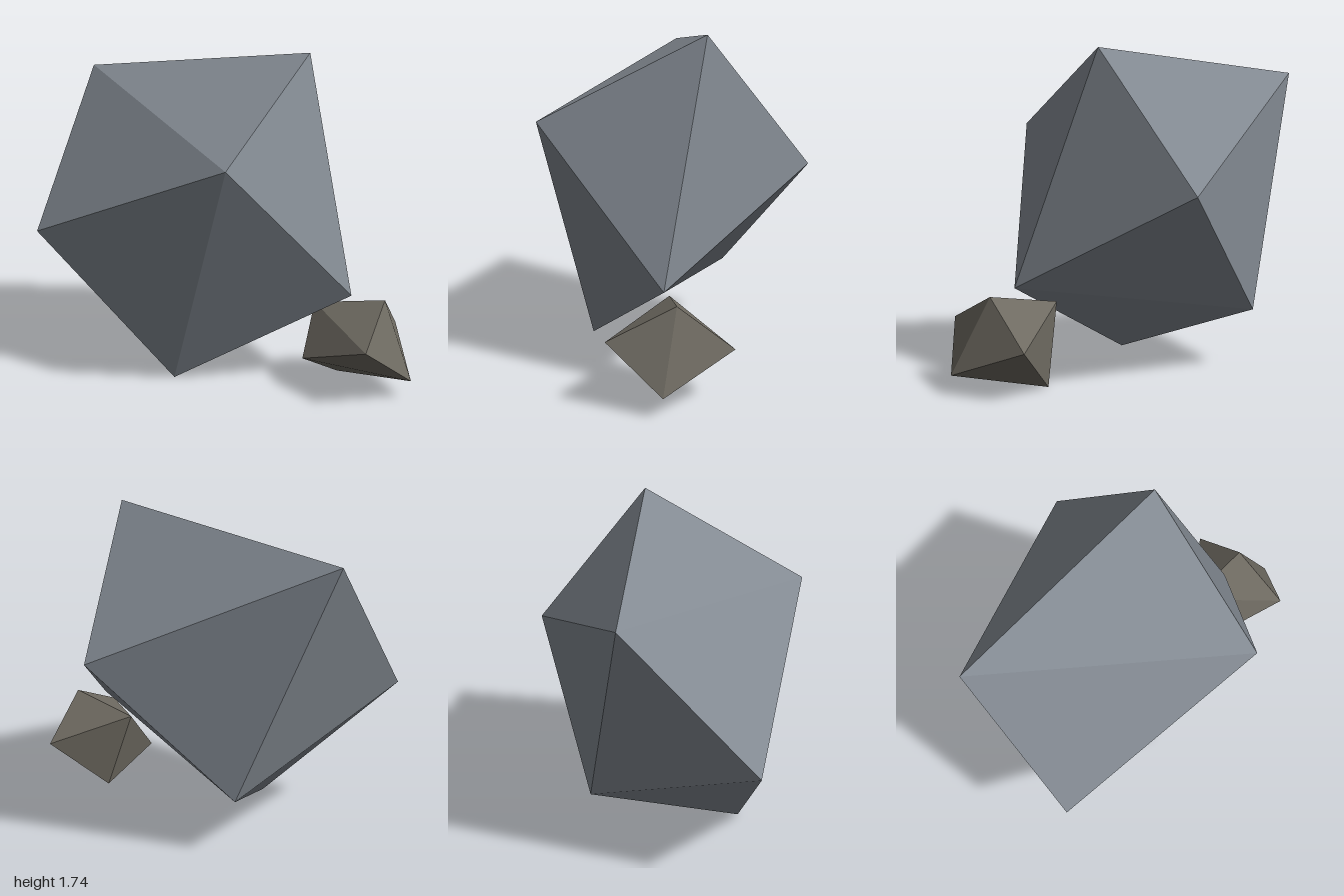
import * as THREE from 'three';
import { ConvexGeometry } from 'three/addons/geometries/ConvexGeometry.js';

// A faceted stone: the convex hull of a few corner points
function makeRock(name, corners, material) {
  const points = corners.map(([x, y, z]) => new THREE.Vector3(x, y, z));
  const mesh = new THREE.Mesh(new ConvexGeometry(points), material);
  mesh.name = name;
  return mesh;
}

export function createModel() {
  const blueGrey = new THREE.MeshStandardMaterial({ color: 0x838a92, flatShading: true });
  blueGrey.name = 'blueGreyStone';
  const brownGrey = new THREE.MeshStandardMaterial({ color: 0x6e6a61, flatShading: true });
  brownGrey.name = 'brownGreyStone';

  const group = new THREE.Group();
  group.name = 'rocks';

  // Large boulder
  group.add(makeRock('boulder', [
    [-0.74, 1.57, -0.585], // top left back
    [0.465, 1.735, -0.08], // peak
    [0.03, 1.29, 0.67],    // front
    [-1.0, 0.78, 0.05],    // side
    [0.69, 0.51, 0.29],    // low side
    [-0.255, 0.0, 0.22],   // foot
    [0.52, 1.03, -0.675],  // back
    [-0.235, 0.32, -0.62], // low back
  ], blueGrey));

  // Small stone beside it
  group.add(makeRock('smallStone', [
    [0.865, 0.495, 0.315], // peak
    [0.505, 0.42, 0.155],  // inner shoulder
    [0.74, 0.33, 0.64],    // front
    [0.435, 0.175, 0.35],  // inner side
    [1.0, 0.1, 0.465],     // outer side
    [0.64, 0.0, 0.12],     // foot
    [0.96, 0.26, 0.04],    // back
  ], brownGrey));

  return group;
}
